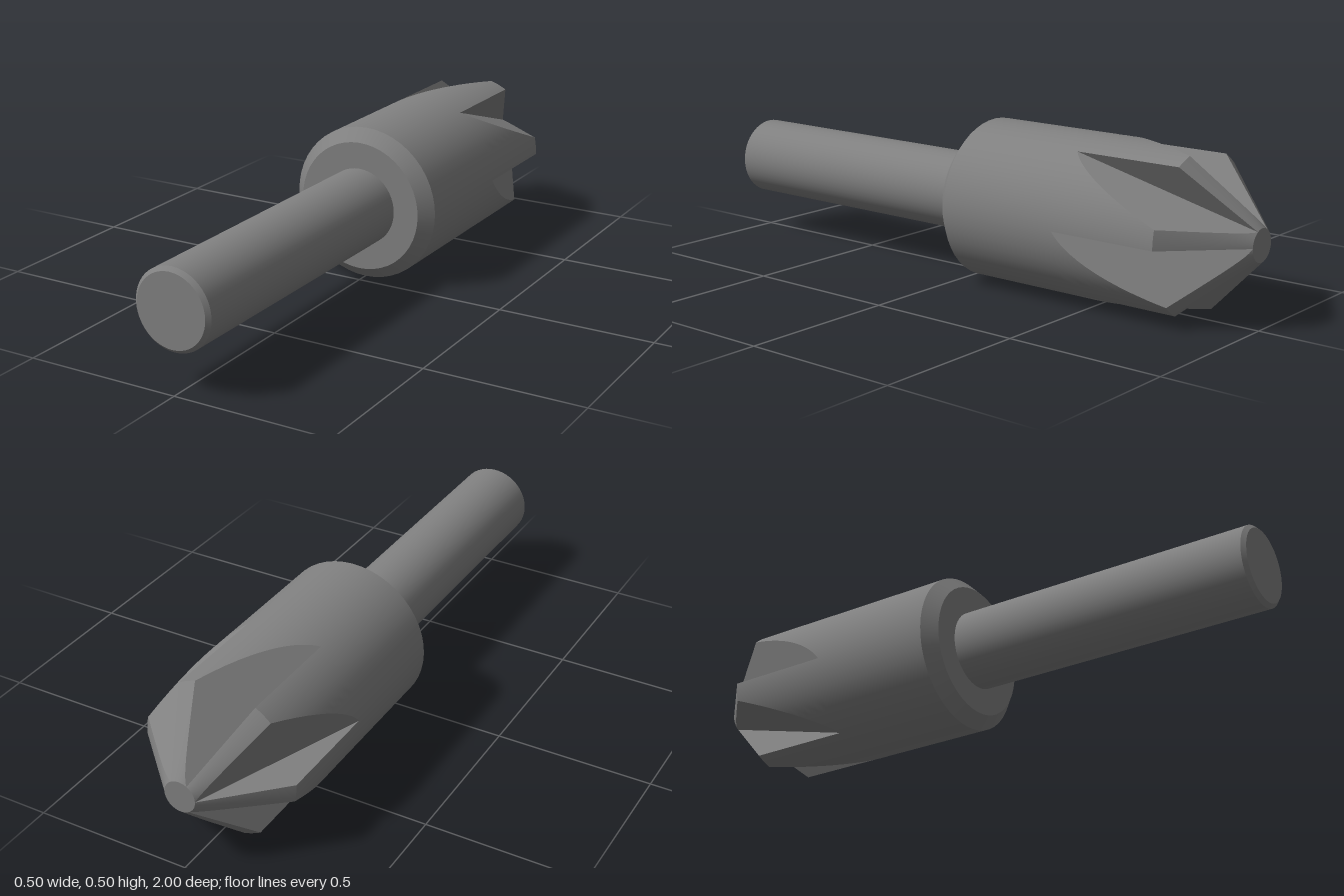
import * as THREE from 'three';

const FLUTES = 6, SECTOR = Math.PI * 2 / FLUTES, ARC_STEPS = 8;
const R = 0.25, TIP_R = 0.05;                 // body and tip radius
const Z_FLUTE = -0.45, Z_CONE = -0.8, Z_TIP = -1;
const FLOOR_SLOPE = 0.27;                     // tilt of the flute floor (radians)

const polar = (r, a, z) => new THREE.Vector3(r * Math.cos(a), r * Math.sin(a), z);

// Outer radius, flute root radius and flute opening angle at a given z
const outerR = z => z > Z_CONE ? R : TIP_R + (z - Z_TIP);
const rootR = z => TIP_R + (R - TIP_R) * (z - Z_TIP) / (Z_FLUTE - Z_TIP);
function fluteAngle(z) {
  const s = Math.sin(FLOOR_SLOPE), r = rootR(z), o = outerR(z);
  const t = -r * s + Math.sqrt(Math.max(0, r * r * s * s + o * o - r * r));
  return Math.asin(Math.min(1, t * Math.cos(FLOOR_SLOPE) / o));
}

// Skin between rows of points; smooth if a normal rule is given, else flat
function skin(rows, normalAt) {
  const n = rows[0].length, index = [];
  for (let i = 0; i < rows.length - 1; i++) {
    for (let j = 0; j < n - 1; j++) {
      const a = i * n + j, b = a + n;
      index.push(a, b, a + 1, b, b + 1, a + 1);
    }
  }
  const points = rows.flat();
  const geo = new THREE.BufferGeometry().setFromPoints(points);
  geo.setIndex(index);
  if (normalAt) {
    const normals = points.flatMap(p => normalAt(p).normalize().toArray());
    geo.setAttribute('normal', new THREE.Float32BufferAttribute(normals, 3));
    return geo;
  }
  const flat = geo.toNonIndexed();
  flat.computeVertexNormals();
  return flat;
}

export function createModel() {
  const model = new THREE.Group();
  model.name = 'countersinkBit';
  const steel = new THREE.MeshStandardMaterial({ color: 0x808080 });
  steel.name = 'steel grey';

  const add = (parent, name, geo) => {
    const mesh = new THREE.Mesh(geo, steel);
    mesh.name = name;
    parent.add(mesh);
    return mesh;
  };
  // One turned band per profile segment keeps the edges sharp
  const turned = (name, profile) => {
    const group = new THREE.Group();
    group.name = name;
    for (let i = 0; i < profile.length - 1; i++) {
      const pts = [profile[i], profile[i + 1]].map(([r, z]) => new THREE.Vector2(r, z));
      add(group, name + 'Band', new THREE.LatheGeometry(pts, FLUTES * ARC_STEPS).rotateX(Math.PI / 2));
    }
    model.add(group);
  };

  // Plain turned parts
  turned('shank', [[0.125, 0], [0.125, 0.988], [0.113, 1], [0, 1]]);
  turned('body', [[R, Z_FLUTE], [R, -0.04], [0.21, 0], [0.12, 0]]);
  turned('tip', [[0, Z_TIP], [TIP_R, Z_TIP]]);

  // Cross-section heights, denser where each flute runs out
  const bodyZ = [], coneZ = [];
  for (let i = 0; i <= 14; i++) bodyZ.push(Z_FLUTE + (Z_CONE - Z_FLUTE) * (i / 14) ** 2);
  for (let i = 0; i <= 10; i++) coneZ.push(Z_TIP + (Z_CONE - Z_TIP) * (1 - i / 10) ** 2);
  const allZ = [...bodyZ, ...coneZ.slice(1)];

  // Each tooth: cylindrical land, conical land, flute floor, rake face
  const landRow = z => {
    const width = SECTOR - fluteAngle(z);
    return Array.from({ length: ARC_STEPS + 1 }, (_, j) => polar(outerR(z), width * j / ARC_STEPS, z));
  };
  const cylinderNormal = p => new THREE.Vector3(p.x, p.y, 0);
  const coneNormal = p => new THREE.Vector3(p.x, p.y, -Math.hypot(p.x, p.y));
  const parts = {
    land: skin(bodyZ.map(landRow), cylinderNormal),
    cuttingCone: skin(coneZ.map(landRow), coneNormal),
    fluteFloor: skin(allZ.map(z => [polar(outerR(z), SECTOR - fluteAngle(z), z), polar(rootR(z), SECTOR, z)])),
    rakeFace: skin(allZ.map(z => [polar(rootR(z), SECTOR, z), polar(outerR(z), SECTOR, z)])),
  };
  for (let k = 0; k < FLUTES; k++) {
    const tooth = new THREE.Group();
    tooth.name = 'tooth' + (k + 1);
    tooth.rotation.z = k * SECTOR;
    for (const [name, geo] of Object.entries(parts)) add(tooth, name, geo);
    model.add(tooth);
  }

  model.position.y = R;
  return model;
}
